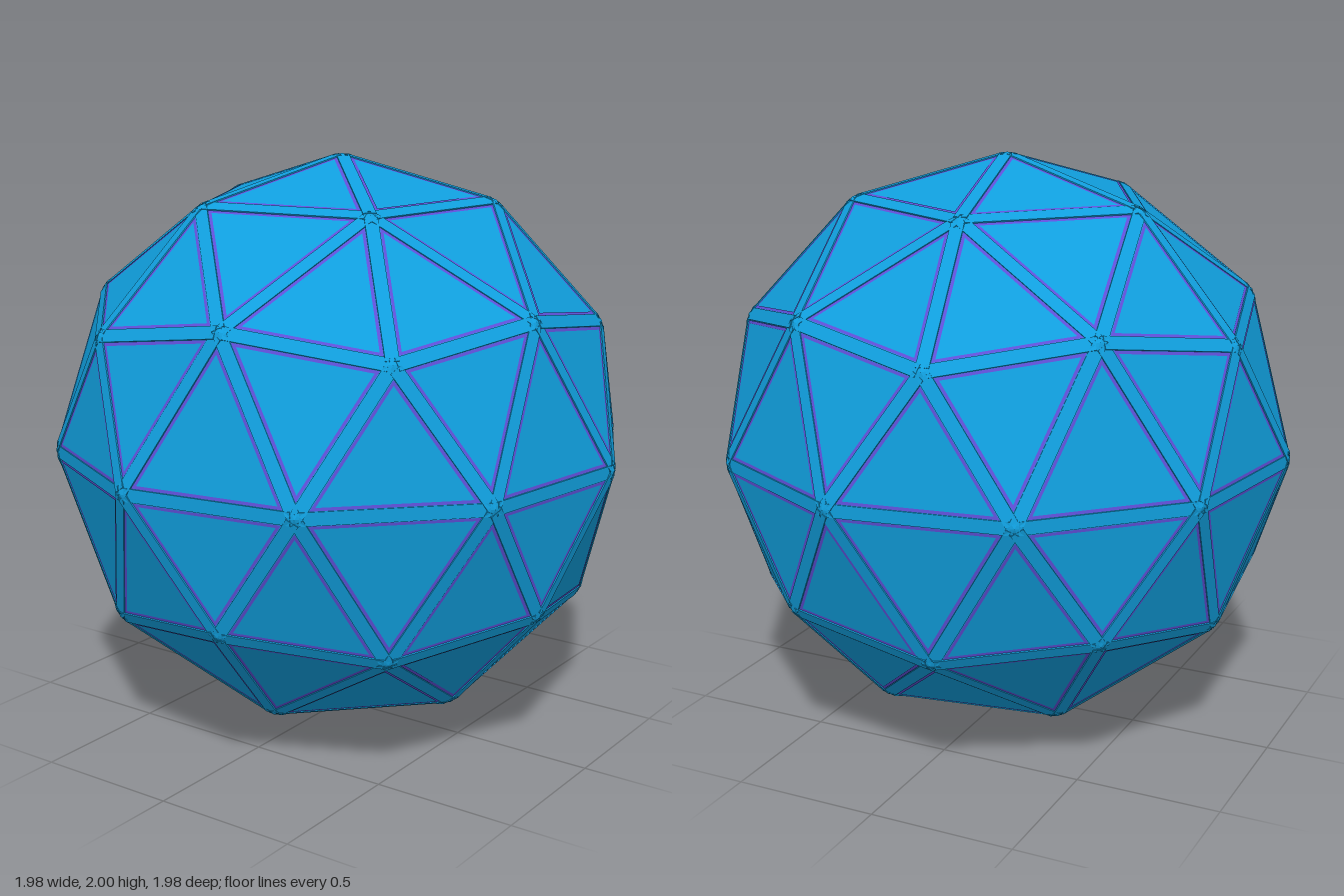
import * as THREE from 'three';
import { mergeGeometries } from 'three/addons/utils/BufferGeometryUtils.js';

const V = (x, y, z) => new THREE.Vector3(x, y, z);

// Twelve icosahedron corners: two poles and two rings of five
function icosahedronFaces() {
  const h = 1 / Math.sqrt(5), r = 2 * h, faces = [];
  const ring = (deg, y) => {
    const a = THREE.MathUtils.degToRad(deg);
    return V(r * Math.cos(a), y, r * Math.sin(a));
  };
  const top = V(0, 1, 0), bottom = V(0, -1, 0);
  for (let i = 0; i < 5; i++) {
    const a = -9 + 72 * i;
    const u0 = ring(a, h), u1 = ring(a + 72, h);
    const l0 = ring(a + 36, -h), l1 = ring(a + 108, -h);
    faces.push([top, u1, u0], [u0, u1, l0], [u1, l1, l0], [bottom, l0, l1]);
  }
  return faces;
}

// Split each face in four and push the midpoints onto the sphere
function domeFaces() {
  const mid = (a, b) => a.clone().add(b).normalize();
  return icosahedronFaces().flatMap(([a, b, c]) => {
    const ab = mid(a, b), bc = mid(b, c), ca = mid(c, a);
    return [[a, ab, ca], [ab, b, bc], [ca, bc, c], [ab, bc, ca]];
  });
}

function normalOf([a, b, c]) {
  return b.clone().sub(a).cross(c.clone().sub(a)).normalize();
}

// Shrink a triangle so every side moves inward by d, lifted off its plane
function inset(tri, d, lift) {
  const [a, b, c] = tri;
  const la = b.distanceTo(c), lb = c.distanceTo(a), lc = a.distanceTo(b);
  const p = la + lb + lc;
  const centre = V(0, 0, 0).addScaledVector(a, la / p).addScaledVector(b, lb / p).addScaledVector(c, lc / p);
  const area = b.clone().sub(a).cross(c.clone().sub(a)).length() / 2;
  const k = d / (2 * area / p), n = normalOf(tri);
  return tri.map(v => v.clone().lerp(centre, k).addScaledVector(n, lift));
}

function fromPoints(points) {
  const g = new THREE.BufferGeometry().setFromPoints(points);
  g.computeVertexNormals();
  return g;
}

// Flat bar along an edge, its upper face tangent to the edge
function strut(a, b) {
  const dir = b.clone().sub(a), length = dir.length();
  dir.normalize();
  const up = a.clone().add(b).normalize();
  const side = dir.clone().cross(up);
  const centre = a.clone().add(b).multiplyScalar(0.5).addScaledVector(up, -0.0045);
  const m = new THREE.Matrix4().makeBasis(dir, up, side).setPosition(centre);
  return new THREE.BoxGeometry(length - 0.03, 0.01, 0.044).applyMatrix4(m);
}

export function createModel() {
  const blue = new THREE.MeshStandardMaterial({ color: 0x109fde });
  blue.name = 'bright blue';
  const violet = new THREE.MeshStandardMaterial({ color: 0x5f50d8 });
  violet.name = 'violet';

  const model = new THREE.Group();
  model.name = 'geodesicBall';
  const add = (name, geometry, material) => {
    const mesh = new THREE.Mesh(geometry, material);
    mesh.name = name;
    mesh.position.y = 1;
    model.add(mesh);
  };

  const faces = domeFaces().map(f =>
    normalOf(f).dot(f[0]) < 0 ? [f[0], f[2], f[1]] : f);

  // Flat panels
  add('panels', fromPoints(faces.flat()), blue);

  // One strut per shared edge
  const edges = new Map();
  const key = v => v.toArray().map(n => Math.round(n * 1000)).join();
  for (const f of faces) {
    for (let i = 0; i < 3; i++) {
      const a = f[i], b = f[(i + 1) % 3];
      edges.set([key(a), key(b)].sort().join('|'), [a, b]);
    }
  }
  add('edgeStruts', mergeGeometries([...edges.values()].map(([a, b]) => strut(a, b))), blue);

  // Thin triangular seam just inside each panel's rim
  const seams = [];
  for (const f of faces) {
    const outer = inset(f, 0.024, 0.0015), inner = inset(f, 0.034, 0.0015);
    for (let i = 0; i < 3; i++) {
      const j = (i + 1) % 3;
      seams.push(outer[i], outer[j], inner[j], outer[i], inner[j], inner[i]);
    }
  }
  add('panelSeams', fromPoints(seams), violet);

  return model;
}
